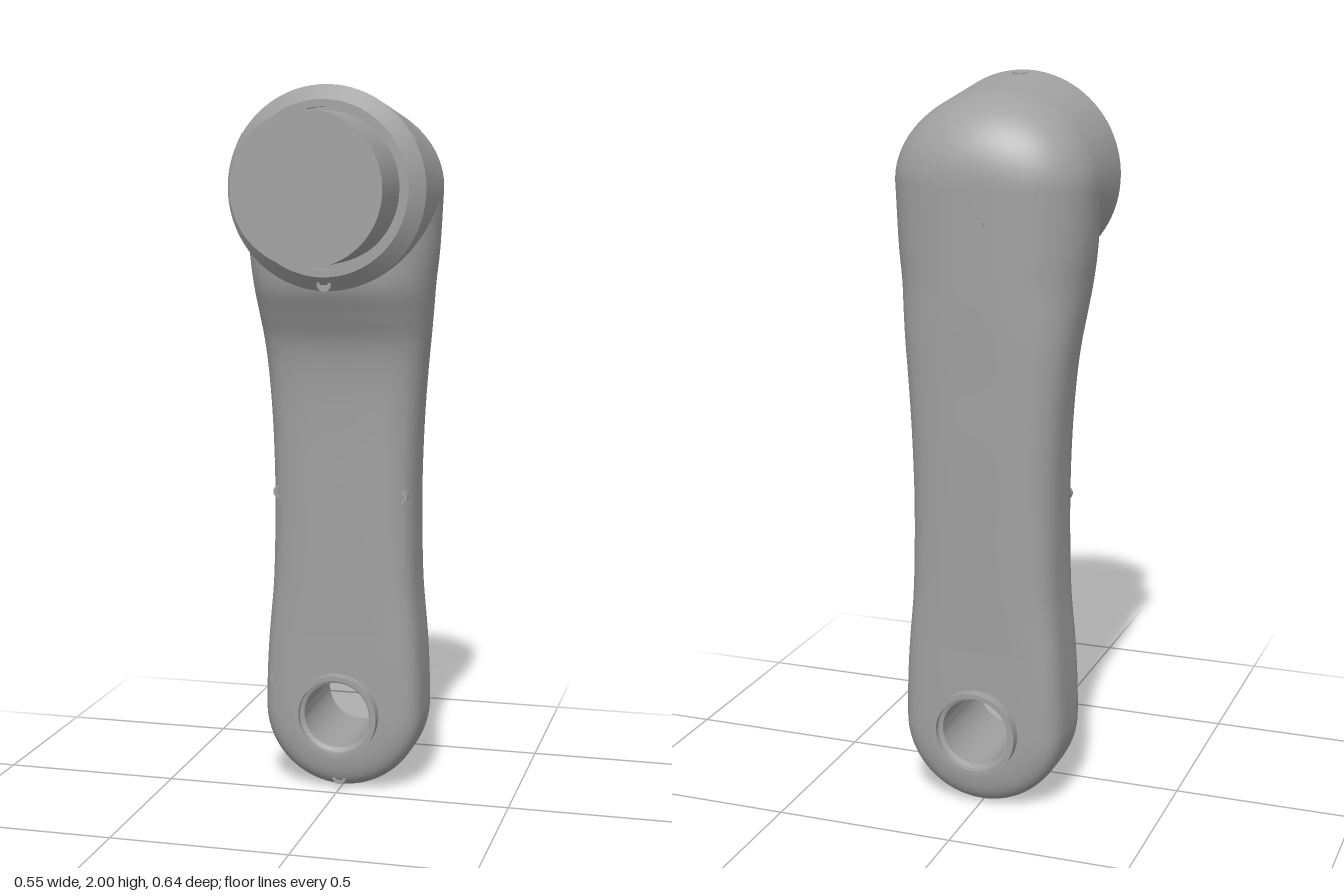
import * as THREE from 'three';
import { mergeGeometries, mergeVertices, toCreasedNormals } from 'three/addons/utils/BufferGeometryUtils.js';

const HOLE_Y = 0.23, END_R = 0.23, SEAM_Y = 0.46, HEAD_Y = 1.725, HEAD_R = 0.275;
const END = { front: -0.015, back: -0.29, n: 4.5 };

// Arm sections: height, half width, front z, back z, squareness
const SECTIONS = [
  [0.46, 0.22, -0.015, -0.29, 4.5],
  [0.62, 0.208, -0.012, -0.293, 4],
  [0.85, 0.205, -0.008, -0.296, 3.6],
  [1.05, 0.211, -0.005, -0.299, 3.4],
  [1.2, 0.222, 0.003, -0.3, 3.2],
  [1.3, 0.233, 0.022, -0.302, 3],
  [1.38, 0.243, 0.06, -0.304, 2.8],
  [1.46, 0.253, 0.098, -0.305, 2.6],
  [1.56, 0.265, 0.105, -0.305, 2.5],
  [HEAD_Y, HEAD_R, 0.105, -0.305, 2.4],
];

// Unit superellipse point at an angle
function superPoint(a, n) {
  const c = Math.cos(a), s = Math.sin(a);
  const r = Math.pow(Math.abs(c) ** n + Math.abs(s) ** n, -1 / n);
  return [r * c, r * s];
}

// Skin between rows of points; it faces along (next row) x (next point)
function skin(rows) {
  const m = rows[0].length, index = [];
  for (let i = 0; i < rows.length - 1; i++) {
    for (let j = 0; j < m - 1; j++) {
      const a = i * m + j, b = a + m;
      index.push(a, b, a + 1, b, b + 1, a + 1);
    }
  }
  const g = new THREE.BufferGeometry();
  g.setAttribute('position', new THREE.Float32BufferAttribute(rows.flat(2), 3));
  g.setIndex(index);
  return g;
}

function smooth(parts) {
  const g = mergeVertices(mergeGeometries(parts), 1e-4);
  g.computeVertexNormals();
  return g;
}

// Turned part about the z axis from [radius, z] points
function turned(points, segments = 64) {
  const g = new THREE.LatheGeometry(points.map(p => new THREE.Vector2(...p)), segments);
  g.rotateX(Math.PI / 2);
  return toCreasedNormals(g, 0.5);
}

const endWidth = y => END_R - 0.01 * ((y - HOLE_Y) / (SEAM_Y - HOLE_Y)) ** 2;

// Surface depth of the lower end
function endZ(x, y, side) {
  const rho = y >= HOLE_Y ? Math.abs(x) / endWidth(y) : Math.hypot(x, y - HOLE_Y) / END_R;
  const h = rho > 1 - 1e-9 ? 0 : Math.pow(1 - rho ** END.n, 1 / END.n);
  return (END.front + END.back) / 2 + side * h * (END.front - END.back) / 2;
}

function armGeometry() {
  // Upper arm: stacked rounded sections
  const curve = k => new THREE.CatmullRomCurve3(SECTIONS.map(s => new THREE.Vector3(s[k], s[0], s[k + 1])), false, 'catmullrom');
  const widthFront = curve(1), backSquare = curve(3), rows = [];
  for (let i = 0; i <= 72; i++) {
    const p = widthFront.getPoint(i / 72), q = backSquare.getPoint(i / 72), row = [];
    for (let j = 0; j <= 96; j++) {
      const [u, v] = superPoint(j / 96 * Math.PI * 2, q.z);
      row.push([u * p.x, p.y, (p.z + q.x) / 2 + v * (p.z - q.x) / 2]);
    }
    rows.push(row);
  }

  // Lower end: spokes from the hole to the rounded outline and the seam
  const rim = [];
  for (let i = 0; i < 10; i++) {
    const y = HOLE_Y + (SEAM_Y - HOLE_Y) * i / 10;
    rim.push([endWidth(y), y]);
  }
  for (let j = 0; j <= 48; j++) {
    rim.push([superPoint(j / 96 * Math.PI * 2, END.n)[0] * endWidth(SEAM_Y), SEAM_Y]);
  }
  for (let i = 9; i >= 0; i--) rim.push([-rim[i][0], rim[i][1]]);
  for (let j = 1; j <= 48; j++) {
    const a = Math.PI * (1 + j / 48);
    rim.push([END_R * Math.cos(a), HOLE_Y + END_R * Math.sin(a)]);
  }
  const face = side => {
    const loops = [];
    for (let i = 0; i <= 24; i++) {
      const t = Math.sin(i / 24 * Math.PI / 2) ** 0.7;
      const loop = rim.map(([x, y]) => {
        const d = Math.hypot(x, y - HOLE_Y), f = 0.1 / d + (1 - 0.1 / d) * t;
        const px = x * f, py = HOLE_Y + (y - HOLE_Y) * f;
        return [px, py, endZ(px, py, side)];
      });
      loops.push(side > 0 ? loop : loop.reverse());
    }
    return skin(loops);
  };
  return smooth([skin(rows), face(1), face(-1)]);
}

// Domed head whose top slopes down towards the back
function headGeometry() {
  const profile = [[HEAD_R, 0.11], [HEAD_R, 0.04], [HEAD_R, -0.03]];
  for (let i = 0; i <= 28; i++) {
    const [u, v] = superPoint(i / 28 * Math.PI / 2, 2.4);
    profile.push([HEAD_R * u, -0.1 - 0.205 * v]);
  }
  const rows = profile.map(([r, z]) => {
    const slope = 1 - 0.18 * (0.11 - z) / 0.31, row = [];
    for (let j = 0; j <= 96; j++) {
      const a = j / 96 * Math.PI * 2, s = Math.sin(a);
      row.push([r * Math.cos(a), HEAD_Y + r * s * (s > 0 ? slope : 1), z]);
    }
    return row;
  });
  return smooth([skin(rows)]);
}

export function createModel() {
  const model = new THREE.Group();
  const grey = new THREE.MeshStandardMaterial({ color: 0xa0a0a0 });
  grey.name = 'casing grey';
  const add = (name, geometry, x = 0, y = 0, z = 0) => {
    const mesh = new THREE.Mesh(geometry, grey);
    mesh.name = name;
    mesh.position.set(x, y, z);
    model.add(mesh);
    return mesh;
  };

  add('arm', armGeometry());
  add('head', headGeometry());

  // Bevelled head rim, narrow groove and output shaft
  add('headRim', turned([[HEAD_R, 0.11], [0.235, 0.15], [0.215, 0.15], [0.215, 0.12], [0.204, 0.12]], 96), 0, HEAD_Y);
  add('shaft', turned([[0.204, 0.1], [0.204, 0.32], [0, 0.32]], 96), 0, HEAD_Y + 0.003);

  // Stepped bushing through the lower end
  add('bushing', turned([[0.12, -0.32], [0.12, 0.018], [0.107, 0.018], [0.107, 0], [0.095, -0.005],
    [0.095, -0.297], [0.107, -0.302], [0.107, -0.32], [0.12, -0.32]]), 0, HOLE_Y);

  // Socket screws
  const screw = turned([[0.02, -0.025], [0.02, 0], [0.011, 0], [0.011, -0.006], [0, -0.006]], 20);
  for (const side of [-1, 1]) {
    add('middleScrew', screw, side * 0.175, 0.865, -0.04);
    add('lowerScrew', screw, side * 0.185, 0.315, -0.034);
  }
  add('bottomScrew', screw, 0, 0.035, -0.034);
  add('rimScrew', screw, 0, 1.47, 0.134);
  add('topScrew', screw, 0, 1.995, 0.07).rotation.x = -Math.PI / 2;

  // Rounded slot plate on the back
  const slot = new THREE.Shape();
  slot.absarc(0.025, 0, 0.01, -Math.PI / 2, Math.PI / 2);
  slot.absarc(-0.025, 0, 0.01, Math.PI / 2, Math.PI * 1.5);
  add('backSlot', new THREE.ExtrudeGeometry(slot, { depth: 0.006, bevelEnabled: false }), 0, 1.64, -0.308);

  // Small marks on the sides of the head
  for (const side of [-1, 1]) {
    const a = 0.51;
    add('sideMark', new THREE.BoxGeometry(0.006, 0.03, 0.008), side * HEAD_R * Math.cos(a), HEAD_Y + HEAD_R * Math.sin(a), 0.098)
      .rotation.z = side * a;
  }
  return model;
}
